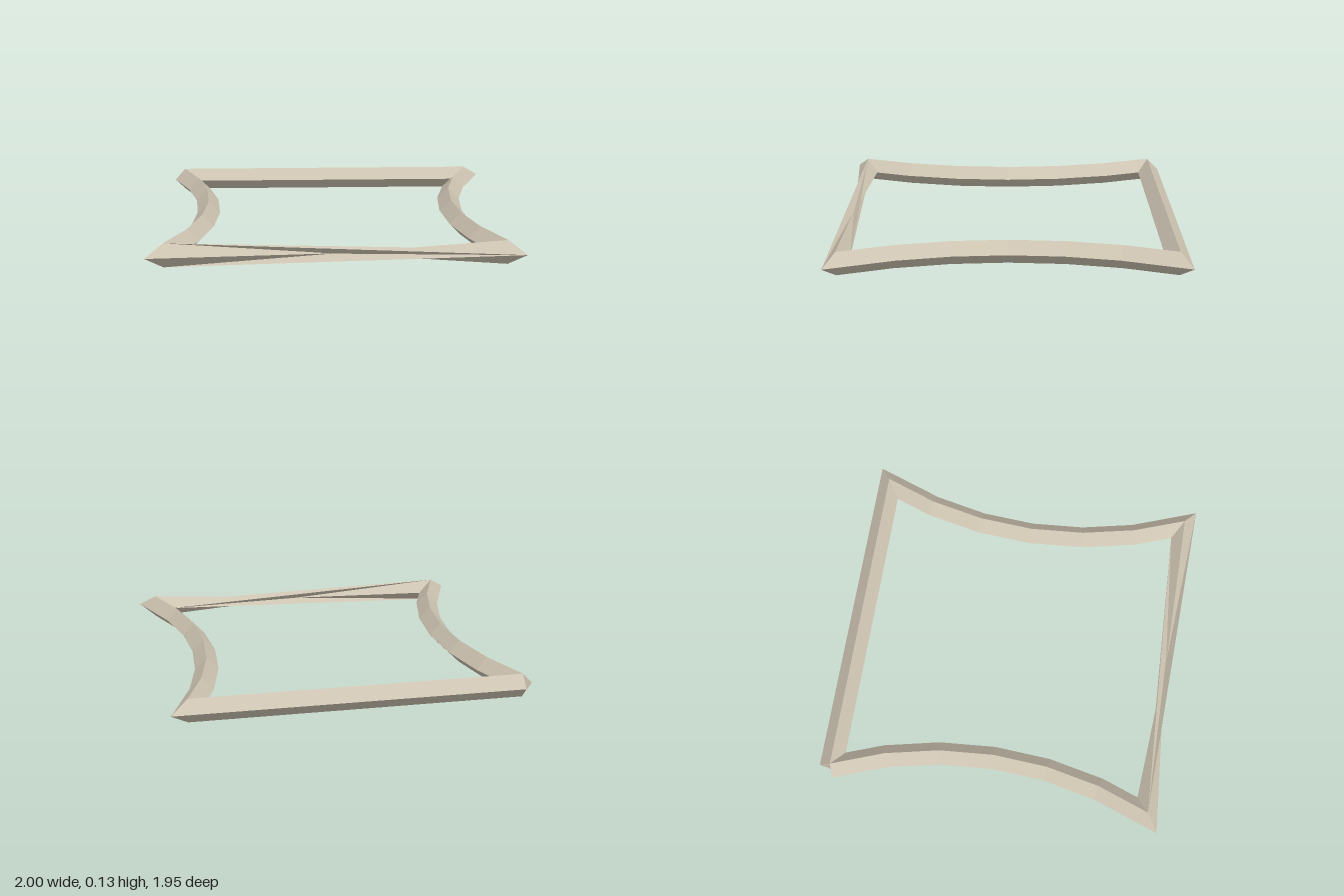
import * as THREE from 'three';

const R = 0.0655;      // half width of the diamond bar
const C = 0.907;       // corner position
const ARC = 2.207;     // radius of the bowed sides
const HALF = Math.asin(C / ARC);

export function createModel() {
  const group = new THREE.Group();
  const stone = new THREE.MeshStandardMaterial({ color: 0xcdc3b1, side: THREE.DoubleSide });
  stone.name = 'warm beige';

  // Centre line seen from above: back rail, right bow, front rail, left bow
  const path = [new THREE.Vector2(-C, -C)];
  const cx = C + (1 - 1) + ARC * Math.cos(HALF);
  for (const side of [1, -1]) {
    for (let i = -3; i <= 3; i++) {
      const a = (HALF * i) / 3;
      path.push(new THREE.Vector2(side * (cx - ARC * Math.cos(a)), side * ARC * Math.sin(a)));
    }
  }

  // Mitred diamond section at each point: outer, top, inner, bottom
  const normals = path.slice(1).map((p, i) => {
    const d = p.clone().sub(path[i]).normalize();
    return new THREE.Vector2(d.y, -d.x);
  });
  const rings = path.map((p, i) => {
    const n1 = normals[Math.max(i - 1, 0)];
    const n2 = normals[Math.min(i, normals.length - 1)];
    const m = n1.clone().add(n2).multiplyScalar(R / (1 + n1.dot(n2)));
    return [
      [p.x + m.x, R, p.y + m.y],
      [p.x, 2 * R, p.y],
      [p.x - m.x, R, p.y - m.y],
      [p.x, 0, p.y],
    ];
  });

  // Joins consecutive sections; twist turns the far section by half a turn
  function rail(name, first, last, { twist = 0, startCap = false, endCap = false } = {}) {
    const pos = [];
    const tri = (...v) => v.forEach((p) => pos.push(...p));
    for (let i = first; i < last; i++) {
      const a = rings[i], b = rings[i + 1];
      for (let j = 0; j < 4; j++) {
        const k = (j + 1) % 4;
        const bj = b[(j + twist) % 4], bk = b[(k + twist) % 4];
        if (j % 2 === 0) {
          tri(a[j], a[k], bk);
          tri(a[j], bk, bj);
        } else {
          tri(a[j], a[k], bj);
          tri(a[k], bk, bj);
        }
      }
    }
    if (startCap) {
      const [o, t, n, b] = rings[first];
      tri(o, n, t);
      tri(o, b, n);
    }
    if (endCap) {
      const [o, t, n, b] = rings[last];
      tri(o, t, n);
      tri(o, n, b);
    }
    const geo = new THREE.BufferGeometry();
    geo.setAttribute('position', new THREE.Float32BufferAttribute(pos, 3));
    geo.computeVertexNormals();
    const mesh = new THREE.Mesh(geo, stone);
    mesh.name = name;
    group.add(mesh);
  }

  rail('backRail', 0, 1, { startCap: true });
  rail('leftBowedRail', 1, 7);
  rail('twistedFrontRail', 7, 8, { twist: 2 });
  rail('rightBowedRail', 8, 14, { endCap: true });

  return group;
}
